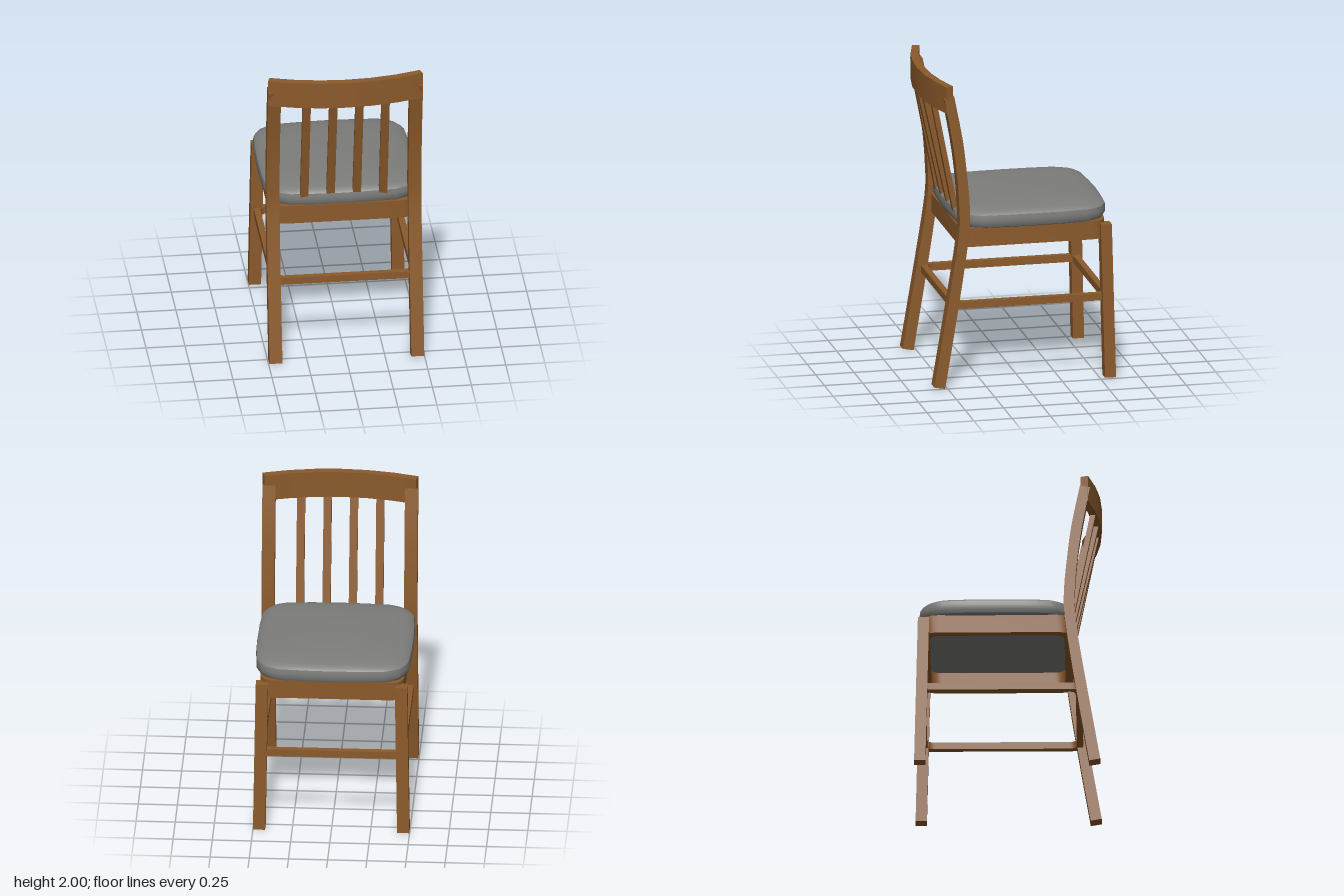
import * as THREE from 'three';
import { toCreasedNormals } from 'three/addons/utils/BufferGeometryUtils.js';

const wood = new THREE.MeshStandardMaterial({ color: 0x8b5a2b });
wood.name = 'wood';
const fabric = new THREE.MeshStandardMaterial({ color: 0x7d7d7b });
fabric.name = 'greyFabric';

function add(group, name, geometry, material) {
  const mesh = new THREE.Mesh(toCreasedNormals(geometry, 0.6), material);
  mesh.name = name;
  group.add(mesh);
  return mesh;
}

// Rounded rectangle in plan; the shape's y becomes z
function roundedRect(Path, x, z0, z1, r) {
  const p = new Path();
  p.moveTo(-x + r, z0);
  p.lineTo(x - r, z0);
  p.quadraticCurveTo(x, z0, x, z0 + r);
  p.lineTo(x, z1 - r);
  p.quadraticCurveTo(x, z1, x - r, z1);
  p.lineTo(-x + r, z1);
  p.quadraticCurveTo(-x, z1, -x, z1 - r);
  p.lineTo(-x, z0 + r);
  p.quadraticCurveTo(-x, z0, -x + r, z0);
  return p;
}

// Extrude a plan shape downwards from yTop
function planExtrude(shape, yTop, depth) {
  return new THREE.ExtrudeGeometry(shape, { depth, bevelEnabled: false, curveSegments: 6 })
    .rotateX(Math.PI / 2).translate(0, yTop, 0);
}

function ring(x, z0, z1, r, width, yTop, depth) {
  const shape = roundedRect(THREE.Shape, x, z0, z1, r);
  shape.holes.push(roundedRect(THREE.Path, x - width, z0 + width, z1 - width, r * 0.7));
  return planExtrude(shape, yTop, depth);
}

// Box whose bottom and top rectangles sit at different centres
function slantedBox(w, d, bottom, top) {
  const g = new THREE.BoxGeometry(w, 1, d);
  const p = g.attributes.position;
  for (let i = 0; i < p.count; i++) {
    const c = p.getY(i) < 0 ? bottom : top;
    p.setXYZ(i, p.getX(i) + c[0], c[1], p.getZ(i) + c[2]);
  }
  g.computeVertexNormals();
  return g;
}

// Curved back leg, profile points are (z, y)
function backLegGeometry() {
  const v = (list) => list.map(([z, y]) => new THREE.Vector2(z, y));
  const front = new THREE.SplineCurve(v([[0.517, 0], [0.425, 0.56], [0.362, 1], [0.356, 1.2], [0.376, 1.43], [0.403, 1.65], [0.458, 1.935]]));
  const back = new THREE.SplineCurve(v([[0.522, 1.92], [0.472, 1.65], [0.442, 1.43], [0.425, 1.2], [0.428, 1], [0.496, 0.56], [0.588, 0.013]]));
  const shape = new THREE.Shape([...front.getPoints(18), ...back.getPoints(18)]);
  return new THREE.ExtrudeGeometry(shape, { depth: 0.083, bevelEnabled: false })
    .rotateY(-Math.PI / 2).translate(0.0415, 0, 0);
}

// Domed cushion from scaled copies of one outline
function cushionGeometry() {
  const quarter = [[0.5, 0], [0.497, 0.18], [0.486, 0.345], [0.468, 0.39], [0.438, 0.437], [0.4, 0.463], [0.34, 0.487], [0.17, 0.498]];
  const outline = [
    ...quarter, [0, 0.503],
    ...quarter.slice(1).reverse().map(([x, z]) => [-x, z]),
    ...quarter.map(([x, z]) => [-x, -z]), [0, -0.503],
    ...quarter.slice(1).reverse().map(([x, z]) => [x, -z]),
  ];
  const levels = [[0, 1.04], [0.94, 1.04], [0.975, 1.048], [0.997, 1.07], [1, 1.1], [0.992, 1.128], [0.96, 1.143], [0.9, 1.153], [0.75, 1.165], [0.5, 1.172], [0.25, 1.176], [0, 1.177]];
  const n = outline.length, pos = [], index = [];
  for (const [s, y] of levels) for (const [x, z] of outline) pos.push(x * s, y, z * s - 0.077);
  for (let k = 0; k < levels.length - 1; k++) {
    for (let i = 0; i < n; i++) {
      const a = k * n + i, b = k * n + (i + 1) % n;
      if (k < levels.length - 2) index.push(a, a + n, b + n);
      if (k > 0) index.push(a, b + n, b);
    }
  }
  const g = new THREE.BufferGeometry();
  g.setAttribute('position', new THREE.Float32BufferAttribute(pos, 3));
  g.setIndex(index);
  g.computeVertexNormals();
  return g;
}

// Depth of the curved top rail's centre line
const railZ = (x) => 0.567 - 0.34 * x * x;

function topRailGeometry() {
  const front = [], back = [];
  for (let i = -3; i <= 3; i++) {
    const t = i / 3, x = t * 0.49;
    const slope = -0.68 * x, len = Math.hypot(1, slope);
    const nx = -slope / len * 0.025, nz = 0.025 / len;
    front.push(new THREE.Vector2(x - nx, railZ(x) - nz));
    back.unshift(new THREE.Vector2(x + nx, railZ(x) + nz));
  }
  return planExtrude(new THREE.Shape([...front, ...back]), 2, 0.175);
}

export function createModel() {
  const chair = new THREE.Group();
  chair.name = 'chair';

  // Seat
  add(chair, 'seatCushion', cushionGeometry(), fabric);
  add(chair, 'seatFrame', ring(0.46, -0.548, 0.408, 0.1, 0.05, 1.042, 0.122), wood);

  // Stretcher ring between the legs
  add(chair, 'stretcherRing', ring(0.47, -0.565, 0.47, 0.07, 0.04, 0.562, 0.047), wood);

  // Legs
  for (const [side, s] of [['left', 1], ['right', -1]]) {
    add(chair, side + 'BackLeg', backLegGeometry(), wood).position.x = s * 0.455;
    add(chair, side + 'FrontLeg', slantedBox(0.078, 0.072, [s * 0.46, 0.008, -0.563], [s * 0.444, 1.02, -0.539]), wood);
  }

  // Backrest
  add(chair, 'topRail', topRailGeometry(), wood);
  for (const x of [-0.253, -0.084, 0.084, 0.253]) {
    add(chair, 'backSlat', slantedBox(0.052, 0.034, [x, 1.07, 0.39], [x, 1.87, railZ(x)]), wood);
  }
  return chair;
}
